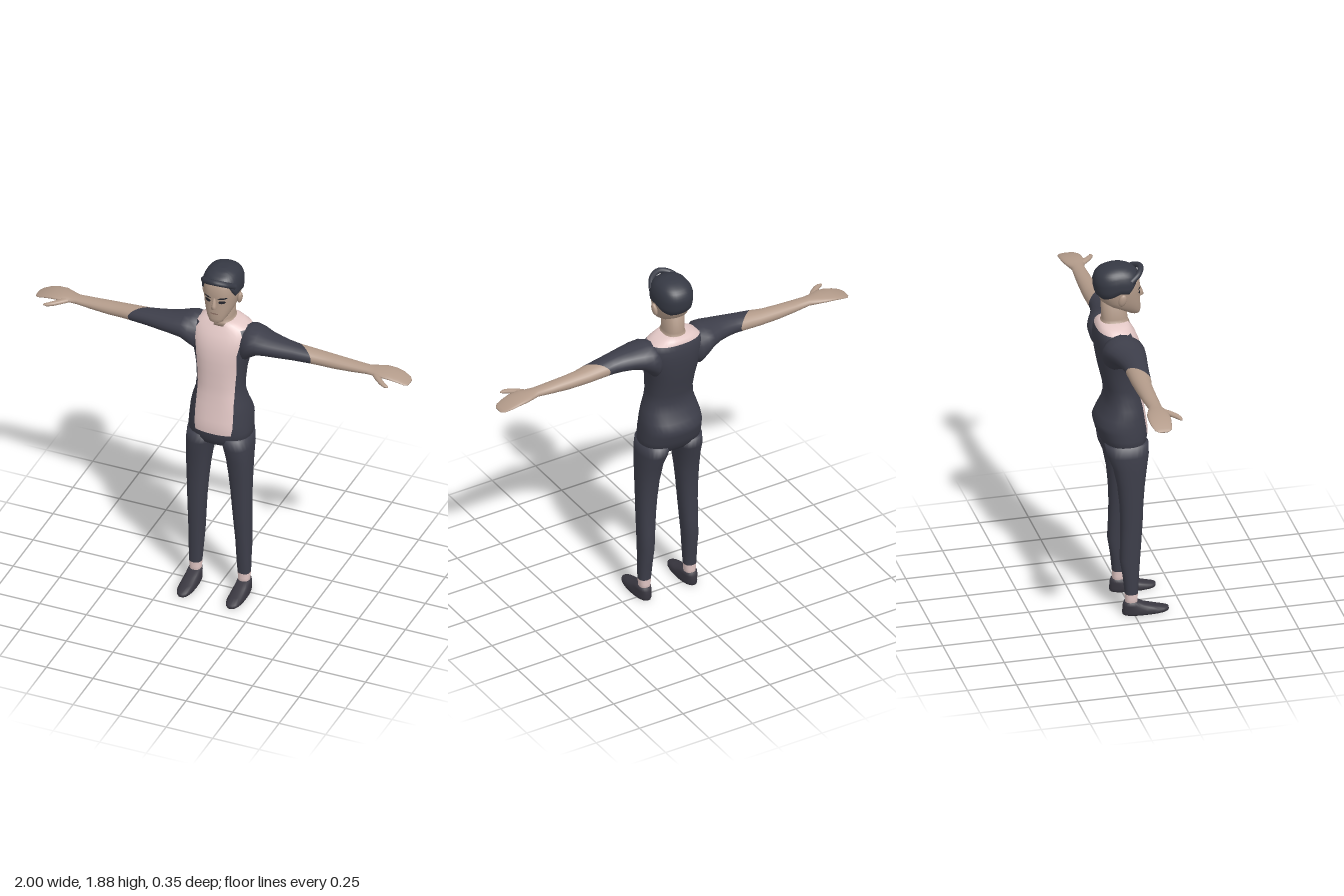
import * as THREE from 'three';

const material = (name, color) => Object.assign(new THREE.MeshStandardMaterial({ color }), { name });
const suit = material('charcoal suit', 0x3d3e4a);
const pink = material('pale pink cloth', 0xe3c8c6);
const skin = material('skin', 0xb39b8a);
const hairMat = material('hair', 0x363944);
const shoeMat = material('shoe', 0x393740);
const faceDark = material('eye and brow', 0x24252c);
const lipMat = material('lip', 0x8f7367);

const V = (x, y, z) => new THREE.Vector3(x, y, z);
const pow = (v, e) => Math.sign(v) * Math.abs(v) ** e;

// Interpolate table rows on their first column
function sample(rows, k) {
  let i = 0;
  while (i < rows.length - 2 && k > rows[i + 1][0]) i++;
  const a = rows[i], b = rows[i + 1];
  const t = THREE.MathUtils.clamp((k - a[0]) / (b[0] - a[0]), 0, 1);
  return a.map((v, j) => v + (b[j] - v) * t);
}

const circle = (n) => Array.from({ length: n }, (_, j) => (j / n) * Math.PI * 2);

// Skin a closed surface over rings; paint(i, j) picks a material index
function loft(rings, paint = () => 0) {
  const n = rings[0].length, last = rings.length - 1;
  const points = rings.flat();
  const middle = (ring) => ring.reduce((s, p) => s.add(p), V(0, 0, 0)).divideScalar(n);
  const start = points.push(middle(rings[0])) - 1;
  const end = points.push(middle(rings[last])) - 1;
  const buckets = [[], []];
  for (let j = 0; j < n; j++) {
    const k = (j + 1) % n;
    for (let i = 0; i < last; i++) {
      const a = i * n + j, b = i * n + k;
      buckets[paint(i, j)].push(a, b, a + n, b, b + n, a + n);
    }
    buckets[paint(0, j)].push(start, k, j);
    buckets[paint(last - 1, j)].push(end, last * n + j, last * n + k);
  }
  const g = new THREE.BufferGeometry().setFromPoints(points);
  g.setIndex(buckets.flat());
  g.addGroup(0, buckets[0].length, 0);
  if (buckets[1].length) g.addGroup(buckets[0].length, buckets[1].length, 1);
  g.computeVertexNormals();
  return g;
}

// Horizontal ring from [y, halfWidth, zFront, zBack]
function level([y, hw, zf, zb], angles, cx = 0, e = 0.85) {
  return angles.map((t) => V(cx + hw * pow(Math.sin(t), e), y, (zf + zb) / 2 + ((zf - zb) / 2) * pow(Math.cos(t), e)));
}

// Upright ring from [x, yTop, yBottom, zFront, zBack, slant]
function slice([x, yt, yb, zf, zb, slant = 0]) {
  return circle(20).map((t) => {
    const z = (zf + zb) / 2 + ((zf - zb) / 2) * Math.cos(t);
    return V(x + slant * (z + 0.045), (yt + yb) / 2 - ((yt - yb) / 2) * Math.sin(t), z);
  });
}

function mirrored(geometry) {
  const g = geometry.clone().scale(-1, 1, 1), ix = g.index;
  for (let i = 0; i < ix.count; i += 3) {
    const b = ix.getX(i + 1);
    ix.setX(i + 1, ix.getX(i + 2));
    ix.setX(i + 2, b);
  }
  return g;
}

// [y, halfWidth, zFront, zBack, pink panel half width]
const torsoRows = [
  [0.885, 0.135, 0.07, -0.105, 0.08], [0.92, 0.163, 0.088, -0.135, 0.09], [0.96, 0.164, 0.094, -0.152, 0.095],
  [1.0, 0.162, 0.094, -0.163, 0.102], [1.03, 0.16, 0.09, -0.17, 0.102], [1.07, 0.155, 0.084, -0.152, 0.102],
  [1.12, 0.143, 0.077, -0.125, 0.1], [1.17, 0.127, 0.071, -0.115, 0.1], [1.22, 0.122, 0.067, -0.12, 0.1],
  [1.3, 0.127, 0.067, -0.139, 0.105], [1.36, 0.138, 0.067, -0.152, 0.108], [1.42, 0.153, 0.063, -0.162, 0.11],
  [1.47, 0.16, 0.052, -0.167, 0.12], [1.51, 0.157, 0.036, -0.165, 0.125], [1.54, 0.14, 0.018, -0.158, 0.11],
  [1.56, 0.1, 0.008, -0.15, 0.08], [1.575, 0.06, 0, -0.135, 0.05],
];
// The first eight columns follow the edge of the pink panel
function torsoRing(row) {
  const edge = Math.asin(Math.min(0.96, (row[4] / row[1]) ** (1 / 0.85)));
  const angles = Array.from({ length: 32 }, (_, j) => (j < 8
    ? -edge + (j / 8) * 2 * edge
    : edge + ((j - 8) / 24) * 2 * (Math.PI - edge)));
  return level(row, angles);
}

const legRows = [ // [y, xInner, xOuter, zFront, zBack]
  [0.045, 0.103, 0.158, 0.02, -0.04], [0.085, 0.1, 0.16, 0.02, -0.042], [0.113, 0.098, 0.163, 0.022, -0.043],
  [0.2, 0.092, 0.164, 0.027, -0.052], [0.3, 0.087, 0.165, 0.034, -0.068], [0.4, 0.08, 0.166, 0.041, -0.064],
  [0.5, 0.073, 0.167, 0.048, -0.062], [0.6, 0.065, 0.169, 0.052, -0.066], [0.7, 0.055, 0.171, 0.06, -0.076],
  [0.8, 0.042, 0.172, 0.073, -0.097], [0.87, 0.026, 0.171, 0.084, -0.125], [0.93, 0.012, 0.165, 0.085, -0.135],
];
const shoeRows = [
  [0, 0.039, 0.175, -0.054], [0.008, 0.042, 0.18, -0.057], [0.02, 0.042, 0.178, -0.057],
  [0.034, 0.039, 0.125, -0.056], [0.05, 0.036, 0.065, -0.054], [0.068, 0.033, 0.028, -0.048],
];
const armRows = [ // [x, yTop, yBottom, zFront, zBack, slant]
  [0.07, 1.51, 1.36, -0.01, -0.12], [0.125, 1.547, 1.35, 0.03, -0.16], [0.16, 1.552, 1.385, 0.045, -0.164],
  [0.2, 1.543, 1.415, 0.043, -0.149], [0.25, 1.532, 1.425, 0.037, -0.126], [0.3, 1.526, 1.427, 0.028, -0.111],
  [0.37, 1.517, 1.43, 0.012, -0.102, 0.5], [0.44, 1.508, 1.43, 0, -0.1, 1.15], [0.52, 1.5, 1.428, -0.009, -0.099, 0.6],
  [0.6, 1.495, 1.428, -0.012, -0.095], [0.7, 1.489, 1.436, -0.015, -0.09], [0.78, 1.485, 1.445, -0.019, -0.085],
  [0.82, 1.485, 1.449, -0.012, -0.1], [0.86, 1.486, 1.453, -0.003, -0.114], [0.91, 1.479, 1.453, -0.004, -0.118],
  [0.95, 1.467, 1.446, -0.01, -0.115], [0.985, 1.452, 1.438, -0.017, -0.104], [1, 1.443, 1.436, -0.035, -0.085],
];
const thumbRows = [
  [0.8, 1.476, 1.454, -0.03, -0.06], [0.84, 1.477, 1.452, 0.012, -0.04], [0.875, 1.474, 1.45, 0.04, 0.002],
  [0.905, 1.468, 1.449, 0.054, 0.028], [0.925, 1.461, 1.453, 0.051, 0.04],
];
const headRows = [
  [1.603, 0.024, 0.056, 0.02], [1.609, 0.034, 0.063, 0.006], [1.63, 0.05, 0.067, -0.035], [1.66, 0.067, 0.065, -0.1],
  [1.69, 0.078, 0.064, -0.135], [1.73, 0.086, 0.06, -0.153], [1.76, 0.089, 0.063, -0.162], [1.8, 0.089, 0.059, -0.165],
  [1.83, 0.081, 0.046, -0.155], [1.85, 0.067, 0.025, -0.135], [1.865, 0.043, -0.008, -0.1], [1.871, 0.015, -0.036, -0.068],
];
const neckRows = [
  [1.555, 0.078, 0.012, -0.147], [1.572, 0.06, 0.005, -0.136], [1.59, 0.052, 0, -0.13], [1.69, 0.05, -0.005, -0.132],
];
const noseRows = [
  [1.687, 0.009, 0.068, 0.04], [1.696, 0.014, 0.085, 0.04], [1.712, 0.011, 0.081, 0.04], [1.75, 0.006, 0.066, 0.04],
];
// Hairline height by angle from the front
const hairline = [[0, 1.825], [0.7, 1.815], [1.05, 1.765], [1.3, 1.735], [1.55, 1.748], [2, 1.722], [2.5, 1.71], [3.15, 1.712]];

function hairGeometry() {
  const rings = [];
  for (let i = 0; i <= 14; i++) {
    const t = 1 - (1 - i / 14) ** 1.8, grow = i ? 0.008 : -0.002;
    rings.push(circle(40).map((a) => {
      const y = THREE.MathUtils.lerp(sample(hairline, Math.min(a, Math.PI * 2 - a))[1], 1.877, t);
      const [, hw, zf, zb] = sample(headRows, y - 0.006 * t);
      return level([y, hw + grow, zf + grow, zb - grow], [a])[0];
    }));
  }
  return loft(rings);
}

// Thin elliptical plate laid on the face
function facePlate(x, y, w, h, tilt = 0) {
  const g = new THREE.CircleGeometry(1, 16).scale(w, h, 1).rotateZ(tilt).translate(x, y, 0);
  const p = g.attributes.position;
  for (let i = 0; i < p.count; i++) {
    const [, hw, zf, zb] = sample(headRows, p.getY(i));
    const a = Math.asin(Math.min(1, Math.abs(p.getX(i)) / hw) ** (1 / 0.85));
    p.setZ(i, (zf + zb) / 2 + ((zf - zb) / 2) * Math.cos(a) ** 0.85 + 0.003);
  }
  g.computeVertexNormals();
  return g;
}

export function createModel() {
  const model = new THREE.Group();
  const add = (name, geometry, mat, parent = model) => {
    const mesh = new THREE.Mesh(geometry, mat);
    mesh.name = name;
    parent.add(mesh);
  };
  const pair = (name, geometry, mat, parent) => {
    add('left' + name, geometry, mat, parent);
    add('right' + name, mirrored(geometry), mat, parent);
  };

  // Body with front panel and yoke
  const inPanel = (i, j) => (i >= 14 || (i >= 2 && j < 8) ? 1 : 0);
  add('torso', loft(torsoRows.map(torsoRing), inPanel), [suit, pink]);

  // Limbs
  const legRings = legRows.map(([y, xi, xo, zf, zb]) => level([y, (xo - xi) / 2, zf, zb], circle(24), (xi + xo) / 2));
  pair('Leg', loft(legRings, (i) => (i < 2 ? 1 : 0)), [suit, pink]);
  pair('Shoe', loft(shoeRows.map((r) => level(r, circle(24), 0.132))), shoeMat);
  pair('Arm', loft(armRows.map(slice), (i) => (i < 7 ? 0 : 1)), [suit, skin]);
  pair('Thumb', loft(thumbRows.map(slice)), skin);

  // Head
  const head = new THREE.Group();
  head.name = 'head';
  model.add(head);
  add('neck', loft(neckRows.map((r) => level(r, circle(24)))), skin, head);
  add('face', loft(headRows.map((r) => level(r, circle(40)))), skin, head);
  add('nose', loft(noseRows.map((r) => level(r, circle(12)))), skin, head);
  const ear = new THREE.SphereGeometry(1, 14, 10).scale(0.013, 0.034, 0.02).rotateX(0.2).rotateZ(-0.15);
  pair('Ear', ear.translate(0.092, 1.715, -0.045), skin, head);
  pair('Eye', facePlate(0.038, 1.731, 0.017, 0.009), faceDark, head);
  pair('Brow', facePlate(0.041, 1.753, 0.022, 0.005, 0.08), faceDark, head);
  add('mouth', facePlate(0, 1.662, 0.022, 0.004), lipMat, head);

  // Hair and raised fringe
  add('hair', hairGeometry(), hairMat, head);
  const sweep = new THREE.CatmullRomCurve3([
    V(-0.083, 1.805, 0.0), V(-0.055, 1.832, 0.045), V(0, 1.848, 0.068), V(0.05, 1.836, 0.048), V(0.083, 1.805, 0.0),
  ]);
  add('fringe', new THREE.TubeGeometry(sweep, 28, 0.015, 10), hairMat, head);
  return model;
}
